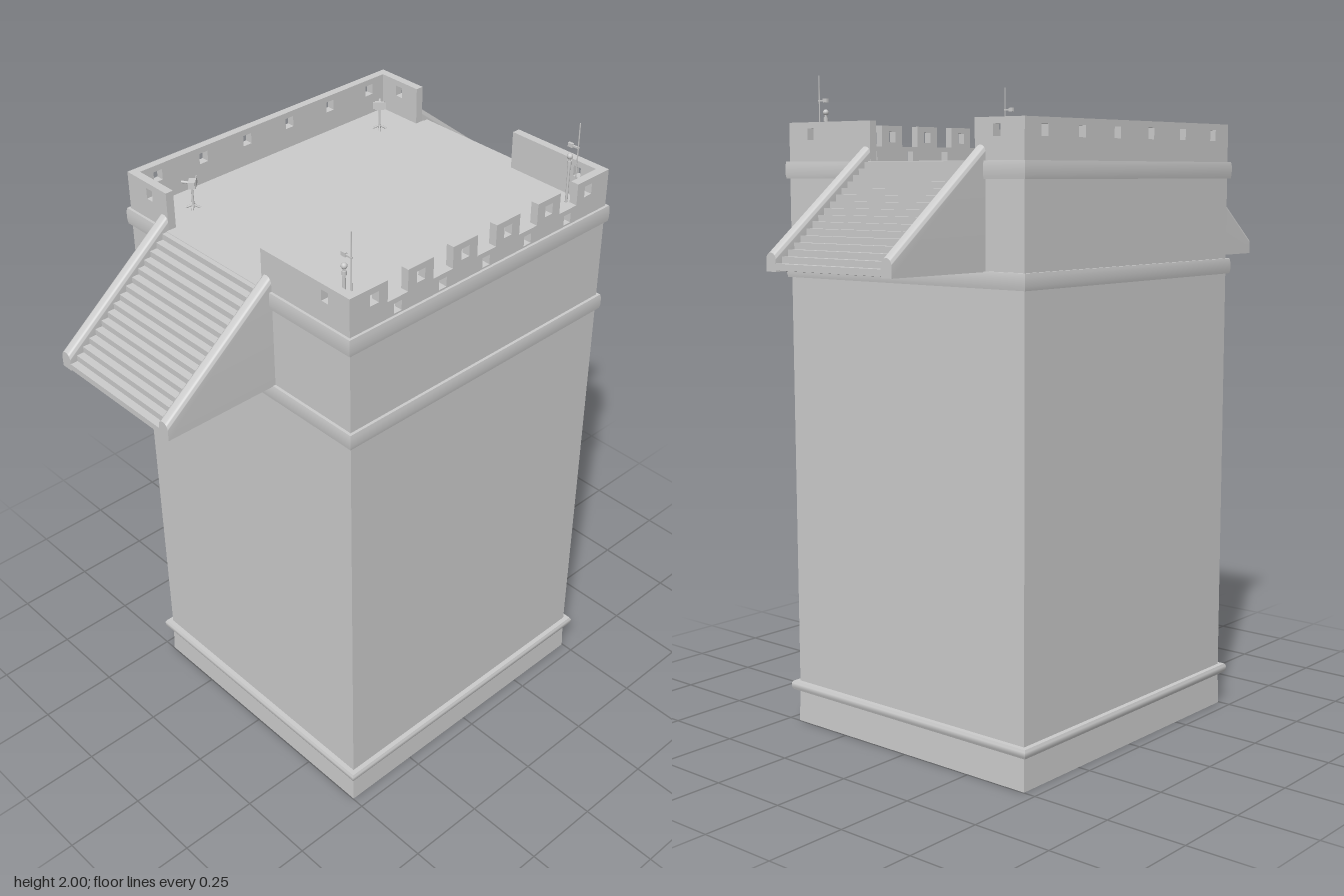
import * as THREE from 'three';
import { toCreasedNormals } from 'three/addons/utils/BufferGeometryUtils.js';

const HX = 0.495, HZ = 0.457;           // half width and half depth of the tower
const FLOOR = 1.743, TOP = 1.86, WALL = 0.025;

const solid = new THREE.MeshStandardMaterial({ color: 0xcccccc });
const thin = new THREE.MeshStandardMaterial({ color: 0xcccccc, side: THREE.DoubleSide });

function add(parent, name, geometry, material = solid) {
  const mesh = new THREE.Mesh(geometry, material);
  mesh.name = name;
  parent.add(mesh);
  return mesh;
}

// Rectangular shell swept through [outward offset, height] levels
function rectLoft(levels) {
  const pos = [], index = [];
  for (const [o, y] of levels) {
    for (const [sx, sz] of [[1, 1], [1, -1], [-1, -1], [-1, 1]]) {
      pos.push(sx * (HX + o), y, sz * (HZ + o));
    }
  }
  for (let l = 0; l < levels.length - 1; l++) {
    for (let i = 0; i < 4; i++) {
      const a = l * 4 + i, b = l * 4 + (i + 1) % 4;
      index.push(a, b, b + 4, a, b + 4, a + 4);
    }
  }
  const g = new THREE.BufferGeometry();
  g.setAttribute('position', new THREE.Float32BufferAttribute(pos, 3));
  g.setIndex(index);
  return toCreasedNormals(g, 0.6);
}

// Slightly rounded projecting moulding between two heights
function moulding(y0, y1, out, base = 0) {
  const h = y1 - y0;
  return [[base, y0], [base + out * 0.8, y0], [base + out, y0 + h * 0.25],
    [base + out, y0 + h * 0.75], [base + out * 0.8, y1], [base, y1]];
}

function polygon(points) {
  return new THREE.Shape(points.map(([x, y]) => new THREE.Vector2(x, y)));
}

function squareHole(shape, x, y, w, h) {
  shape.holes.push(new THREE.Path([
    new THREE.Vector2(x - w / 2, y - h / 2), new THREE.Vector2(x - w / 2, y + h / 2),
    new THREE.Vector2(x + w / 2, y + h / 2), new THREE.Vector2(x + w / 2, y - h / 2)]));
}

function extrude(shape, depth) {
  return new THREE.ExtrudeGeometry(shape, { depth, bevelEnabled: false, curveSegments: 10 });
}

function cylinderBetween(a, b, r, sides = 8) {
  const p = new THREE.Vector3(...a), q = new THREE.Vector3(...b);
  return new THREE.TubeGeometry(new THREE.LineCurve3(p, q), 1, r, sides, false);
}

function buildParapet() {
  const g = new THREE.Group();
  g.name = 'parapet';
  const pitch = 0.164, loops = [0, 1, 2, 3, 4, 5].map(i => (i - 2.5) * pitch);

  // Crenellated front wall
  const outline = [[-HX, FLOOR], [HX, FLOOR], [HX, TOP]];
  for (let i = 2; i >= -2; i--) {
    const c = i * pitch, w = 0.036;
    outline.push([c + w, TOP], [c + w, 1.795], [c - w, 1.795], [c - w, TOP]);
  }
  outline.push([-HX, TOP]);
  const front = polygon(outline);
  loops.forEach(x => squareHole(front, x, 1.825, 0.03, 0.033));
  for (let i = -2; i <= 2; i++) squareHole(front, i * pitch, 1.765, 0.028, 0.03);
  add(g, 'frontBattlement', extrude(front, WALL)).position.z = HZ - WALL;

  // Plain back wall with loopholes
  const back = polygon([[-HX, FLOOR], [HX, FLOOR], [HX, TOP], [-HX, TOP]]);
  loops.forEach(x => squareHole(back, x, 1.825, 0.03, 0.033));
  add(g, 'backParapet', extrude(back, WALL)).position.z = -HZ;

  // Side walls, leaving an opening for each stair
  for (const [name, z0, z1, hole] of [['sideParapetFront', 0.117, HZ - WALL, 0.365],
    ['sideParapetBack', -HZ + WALL, -0.282, -0.36]]) {
    for (const x of [HX, -HX + WALL]) {
      const side = polygon([[z0, FLOOR], [z1, FLOOR], [z1, TOP], [z0, TOP]]);
      squareHole(side, hole, 1.825, 0.026, 0.033);
      add(g, name, extrude(side, WALL).rotateY(-Math.PI / 2)).position.x = x;
    }
  }
  return g;
}

function buildStair() {
  const g = new THREE.Group();
  g.name = 'stair';
  const x0 = HX, x1 = 0.86, bottom = 1.445, width = 0.4, rail = 0.038, steps = 16;

  // Stepped slab with a sloping underside
  const run = (x1 - x0) / steps, rise = (FLOOR - bottom - 0.004) / steps;
  const pts = [[x0, FLOOR - 0.04], [x0, FLOOR]];
  for (let i = 0; i < steps; i++) {
    const x = x0 + (i + 1) * run, y = FLOOR - i * rise;
    pts.push([x, y], [x, y - rise]);
  }
  pts.push([x1 - 0.04, bottom]);
  add(g, 'steps', extrude(polygon(pts.reverse()), width)).position.z = -width / 2;

  // Side walls: an arched section swept outward, with the top following the slope
  const r = rail / 2;
  const arch = new THREE.Shape();
  arch.moveTo(-r, 0).lineTo(r, 0).lineTo(r, 1);
  arch.absarc(0, 1, r, 0, Math.PI, false);
  arch.lineTo(-r, 0);
  for (const s of [-1, 1]) {
    const geo = extrude(arch, x1 - x0).rotateY(-Math.PI / 2).translate(x1, 0, 0);
    const p = geo.attributes.position;
    for (let i = 0; i < p.count; i++) {
      const slope = 1.768 - 0.29 * (p.getX(i) - x0) / (x1 - x0);
      p.setY(i, p.getY(i) > 0.5 ? p.getY(i) - 1 + slope : bottom);
    }
    add(g, 'stairSideWall', toCreasedNormals(geo, 0.6)).position.z = s * (width / 2 + r);
  }
  return g;
}

// Small swivel mount with splayed feet at the back corners
function buildSwivelMount() {
  const g = new THREE.Group();
  g.name = 'swivelMount';
  for (let i = 0; i < 4; i++) {
    const a = i * Math.PI / 2;
    add(g, 'foot', cylinderBetween([0, 0.012, 0], [0.022 * Math.cos(a), 0.002, 0.022 * Math.sin(a)], 0.003, 6));
  }
  add(g, 'post', new THREE.CylinderGeometry(0.003, 0.004, 0.07, 8)).position.y = 0.035;
  add(g, 'head', new THREE.BoxGeometry(0.028, 0.02, 0.018)).position.y = 0.078;
  add(g, 'plate', new THREE.BoxGeometry(0.04, 0.022, 0.003)).position.set(0, 0.083, 0.012);
  add(g, 'barrel', cylinderBetween([0, 0.08, 0], [0, 0.084, -0.03], 0.004)).material = thin;
  return g;
}

// Mast with a lamp at the front corners
function buildMast() {
  const g = new THREE.Group();
  g.name = 'mast';
  add(g, 'post', new THREE.CylinderGeometry(0.004, 0.004, 0.15, 8)).position.y = FLOOR + 0.075;
  add(g, 'lamp', new THREE.SphereGeometry(0.009, 10, 8)).position.y = 1.89;
  add(g, 'collar', new THREE.CylinderGeometry(0.007, 0.007, 0.012, 8)).position.y = 1.87;
  add(g, 'arm', new THREE.BoxGeometry(0.005, 0.005, 0.03)).position.set(0, 1.925, 0.015);
  add(g, 'pointer', new THREE.BoxGeometry(0.008, 0.012, 0.016)).position.set(0, 1.925, 0);
  add(g, 'rod', new THREE.CylinderGeometry(0.002, 0.002, 2 - FLOOR, 6)).position.set(0, (2 + FLOOR) / 2, 0.027);
  return g;
}

export function createModel() {
  const model = new THREE.Group();
  model.name = 'tower';

  // Hollow shaft, open underneath, with three mouldings
  add(model, 'shaft', rectLoft([
    [0.003, 0], ...moulding(0.103, 0.13, 0.019), ...moulding(1.4, 1.447, 0.011),
    ...moulding(1.695, 1.745, 0.01)]), thin);

  // Roof deck
  add(model, 'roofDeck', new THREE.BoxGeometry(HX * 2, 0.01, HZ * 2)).position.y = FLOOR - 0.003;

  model.add(buildParapet());

  for (const side of [0, 1]) {
    const s = side ? -1 : 1;
    const stair = buildStair();
    stair.rotation.y = side * Math.PI;
    stair.position.z = -0.082;
    model.add(stair);

    const mount = buildSwivelMount();
    mount.position.set(s * 0.365, FLOOR, -0.337);
    mount.rotation.y = -s * Math.PI / 4;
    model.add(mount);

    const mast = buildMast();
    mast.position.set(s * 0.43, 0, 0.367);
    model.add(mast);
  }
  return model;
}
